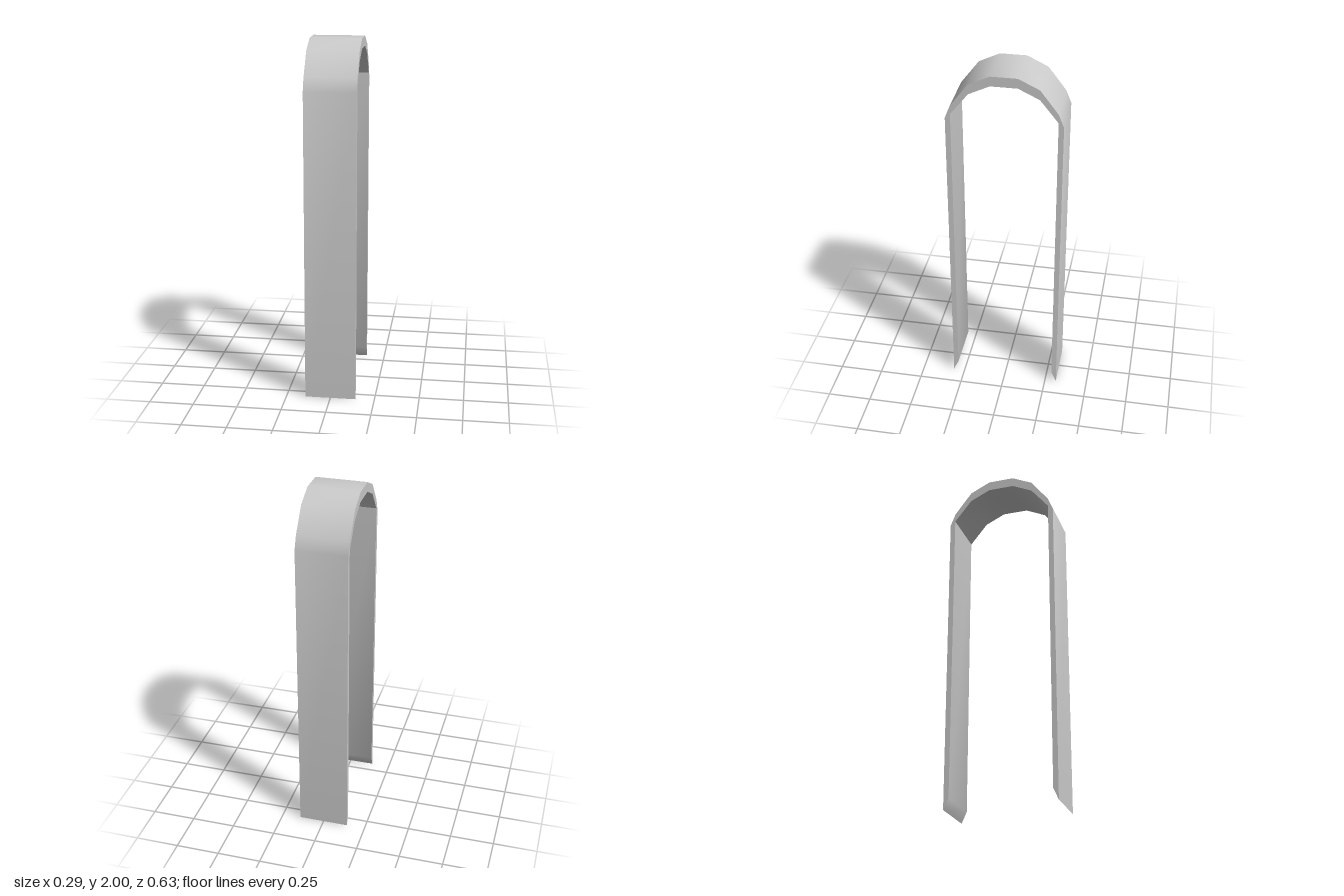
import * as THREE from 'three';
import { toCreasedNormals } from 'three/addons/utils/BufferGeometryUtils.js';

const WIDTH = 0.286;

// Half profiles as [z, y], from the foot to the crown
const OUTER = [[0.316, 0], [0.316, 1.742], [0.287, 1.815], [0.188, 1.945], [0.073, 2]];
const INNER = [[0.287, 0.064], [0.287, 1.766], [0.188, 1.89], [0.073, 1.945]];

// Mirrors a half profile into a full run over the crown
const overCrown = (half) => [...half, ...half.map(([z, y]) => [-z, y]).reverse()];

export function createModel() {
  const group = new THREE.Group();
  group.name = 'archedStrap';

  // Bent strip: outer line out, inner line back, feet cut at a slant
  const outline = [...overCrown(OUTER), ...overCrown(INNER).reverse()];
  const shape = new THREE.Shape(outline.map(([z, y]) => new THREE.Vector2(z, y)));
  const strip = new THREE.ExtrudeGeometry(shape, { depth: WIDTH, bevelEnabled: false });
  strip.translate(0, 0, -WIDTH / 2);
  strip.rotateY(-Math.PI / 2);

  // Smooth over the arch, sharp at the rims and where the legs meet it inside
  const mesh = new THREE.Mesh(
    toCreasedNormals(strip, THREE.MathUtils.degToRad(32)),
    new THREE.MeshStandardMaterial({ color: 0xcccccc })
  );
  mesh.name = 'bentStrip';
  group.add(mesh);
  return group;
}
